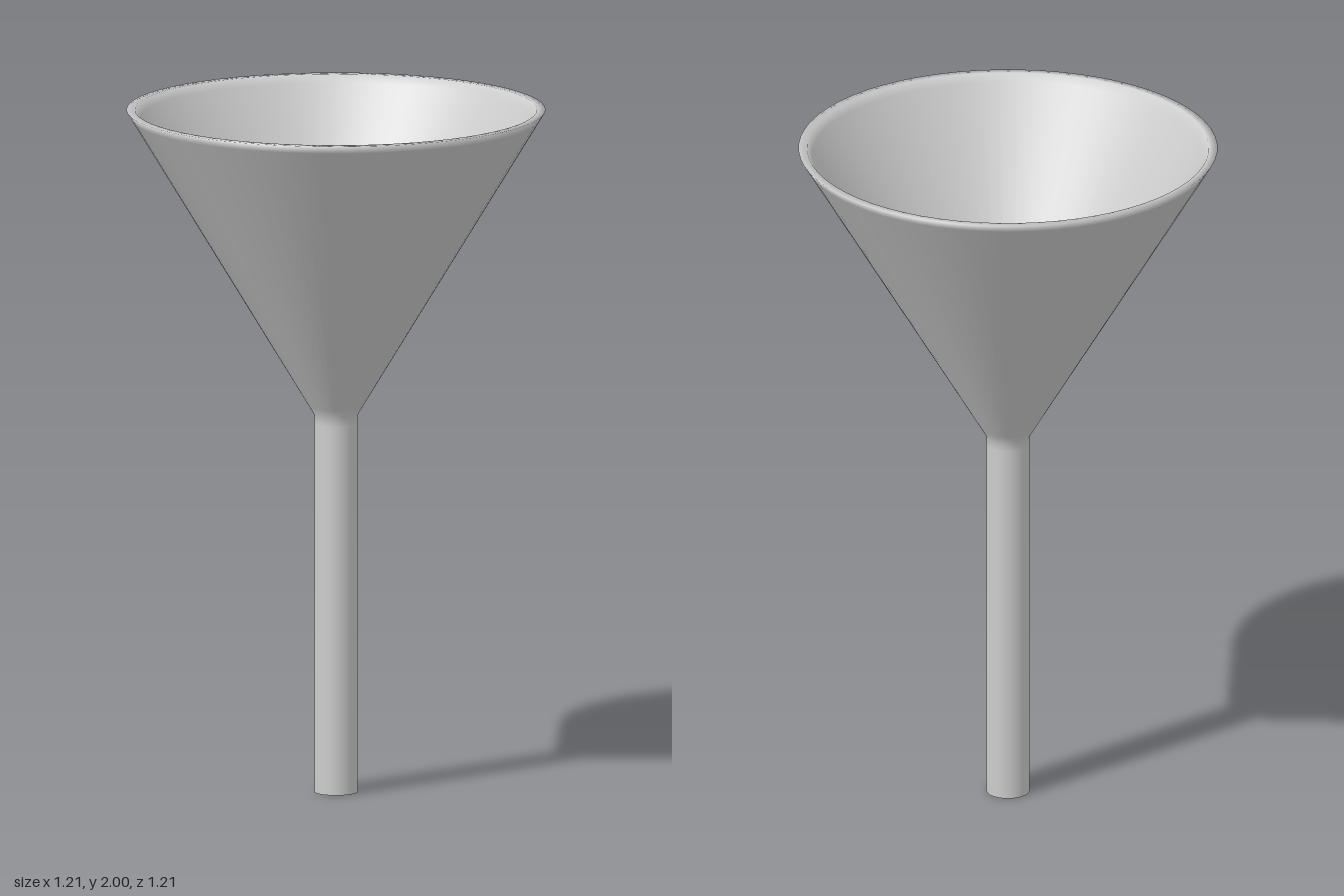
import * as THREE from 'three';

export function createModel() {
  const group = new THREE.Group();
  group.name = 'funnel';
  const grey = new THREE.MeshStandardMaterial({ color: 0xcccccc });
  grey.name = 'plain grey';
  const segments = 64;

  // Revolves a profile; running up the outside keeps faces pointing outward
  const addLathe = (name, profile) => {
    const points = profile.map(([r, y]) => new THREE.Vector2(r, y));
    const mesh = new THREE.Mesh(new THREE.LatheGeometry(points, segments), grey);
    mesh.name = name;
    group.add(mesh);
  };

  // Spout and cone in one wall: up the outside, over the soft rim, down the inside
  addLathe('funnelBody', [
    [0.062, 0], [0.062, 1.08], [0.062, 1.105], [0.077, 1.13],
    [0.591, 1.977], [0.605, 2],
    [0.58, 2], [0.566, 1.977],
    [0.06, 1.13], [0.045, 1.105], [0.045, 1.08], [0.045, 0],
  ]);

  // Flat ring closing the wall at the bottom of the spout
  addLathe('spoutEnd', [[0.045, 0], [0.062, 0]]);

  return group;
}
